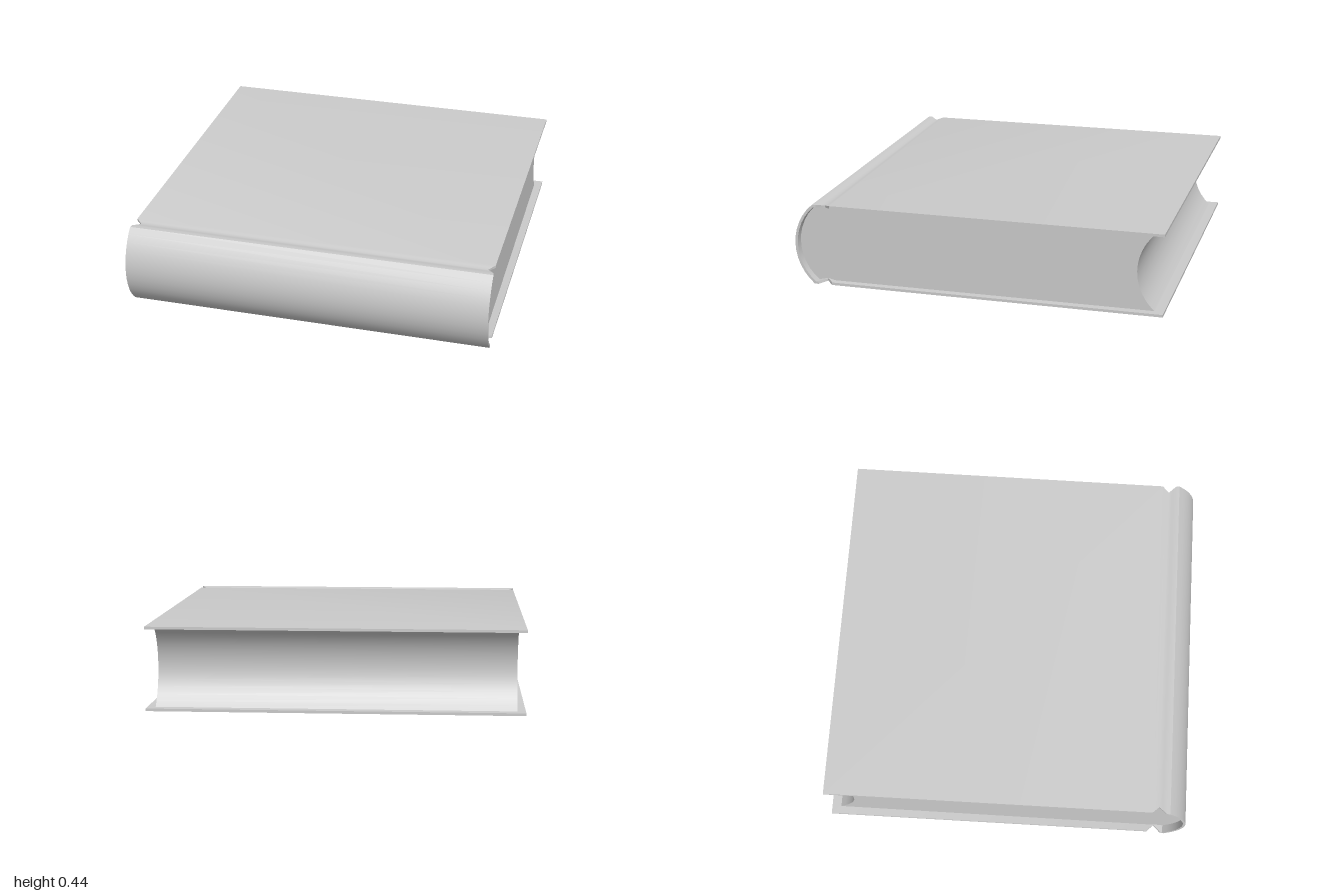
import * as THREE from 'three';
import { toCreasedNormals } from 'three/addons/utils/BufferGeometryUtils.js';

const H = 0.445, MID = H / 2, HALF_W = 0.988, THICK = 0.014;
const material = new THREE.MeshStandardMaterial({ color: 0xcccccc });

// points of a shallow arc bulging toward +z, from the top down
function arc(zEnd, bulge, halfHeight, n) {
  const r = (halfHeight ** 2 + bulge ** 2) / (2 * bulge);
  const a = Math.asin(halfHeight / r);
  return Array.from({ length: n + 1 }, (_, i) => {
    const t = a - (2 * a * i) / n;
    return [zEnd + bulge - r + r * Math.cos(t), MID + r * Math.sin(t)];
  });
}

// one sheet of board wrapped round the book: top board, hinge groove, spine, and mirrored below
function coverGeometry() {
  const board = [[-1, H], [0.8, H], [0.818, H - 0.005], [0.836, H - 0.009], [0.855, H - 0.005], [0.876, H]];
  const under = board.map(([z, y]) => [z, H - y]).reverse();
  const path = [...board, ...arc(0.897, 0.103, MID, 12), ...under];

  // side notches at the hinge
  const halfWidth = z => HALF_W - 0.04 * Math.max(0, 1 - Math.abs(z - 0.837) / 0.042);

  const rings = path.map(([z, y], i) => {
    const p = path[Math.max(i - 1, 0)], q = path[Math.min(i + 1, path.length - 1)];
    const dz = q[0] - p[0], dy = q[1] - p[1], len = Math.hypot(dz, dy);
    const zi = z + (dy / len) * THICK, yi = y - (dz / len) * THICK;
    const w = halfWidth(z);
    return [[-w, y, z], [w, y, z], [w, yi, zi], [-w, yi, zi]];
  });

  const pos = [];
  const quad = (a, b, c, d) => pos.push(...a, ...b, ...c, ...a, ...c, ...d);
  for (let i = 0; i < rings.length - 1; i++) {
    for (let k = 0; k < 4; k++) {
      const m = (k + 1) % 4;
      quad(rings[i][k], rings[i + 1][k], rings[i + 1][m], rings[i][m]);
    }
  }
  quad(...rings[0]);
  quad(...[...rings[rings.length - 1]].reverse());

  const g = new THREE.BufferGeometry();
  g.setAttribute('position', new THREE.Float32BufferAttribute(pos, 3));
  return toCreasedNormals(g, 0.5);
}

// page block: rounded at the spine, hollow at the fore edge
function pagesGeometry() {
  const half = MID - THICK + 0.001;
  const outline = [...arc(0.888, 0.1, half, 12), ...arc(-0.95, 0.095, half, 12).reverse()];
  const shape = new THREE.Shape(outline.map(([z, y]) => new THREE.Vector2(z, y)));
  const width = 1.89;
  const g = new THREE.ExtrudeGeometry(shape, { depth: width, bevelEnabled: false });
  g.translate(0, 0, -width / 2);
  g.rotateY(-Math.PI / 2);
  return toCreasedNormals(g, 0.5);
}

export function createModel() {
  const book = new THREE.Group();
  book.name = 'book';
  const add = (name, geometry) => {
    const mesh = new THREE.Mesh(geometry, material);
    mesh.name = name;
    book.add(mesh);
  };
  add('cover', coverGeometry());
  add('pages', pagesGeometry());
  return book;
}
